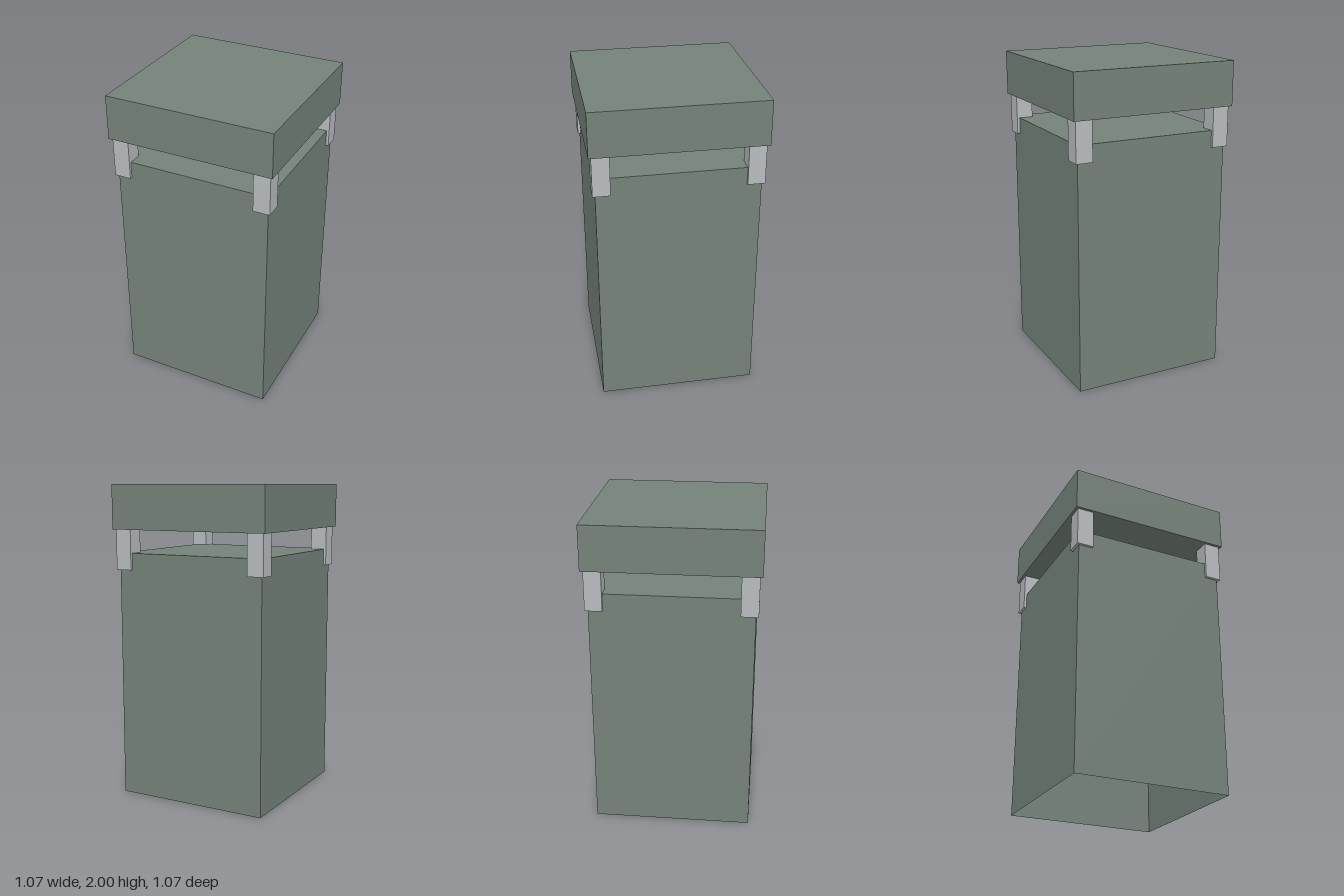
import * as THREE from 'three';

const green = new THREE.MeshStandardMaterial({ color: 0x75827a, side: THREE.DoubleSide });
green.name = 'greyGreen';
const grey = new THREE.MeshStandardMaterial({ color: 0xb8bcbf });
grey.name = 'lightGrey';

// Box standing between two heights
function block(name, width, bottom, top, material, x = 0, z = 0) {
  const geometry = new THREE.BoxGeometry(width, top - bottom, width);
  const mesh = new THREE.Mesh(geometry, material);
  mesh.name = name;
  mesh.position.set(x, (bottom + top) / 2, z);
  return mesh;
}

export function createModel() {
  const model = new THREE.Group();
  model.name = 'coveredPillar';

  // Hollow body: thin walls and a closed top, open underneath
  const body = block('body', 1, 0, 1.573, green);
  const index = Array.from(body.geometry.index.array);
  index.splice(18, 6); // drop the bottom face
  body.geometry.setIndex(index);
  body.geometry.clearGroups();
  model.add(body);

  // Corner posts wrap the body's top corners and carry the lid
  for (const x of [-1, 1]) {
    for (const z of [-1, 1]) {
      const name = (z > 0 ? 'front' : 'back') + (x > 0 ? 'Left' : 'Right') + 'Post';
      model.add(block(name, 0.107, 1.467, 1.72, grey, x * 0.4635, z * 0.4635));
    }
  }

  // Overhanging lid
  model.add(block('lid', 1.067, 1.72, 2, green));
  return model;
}
